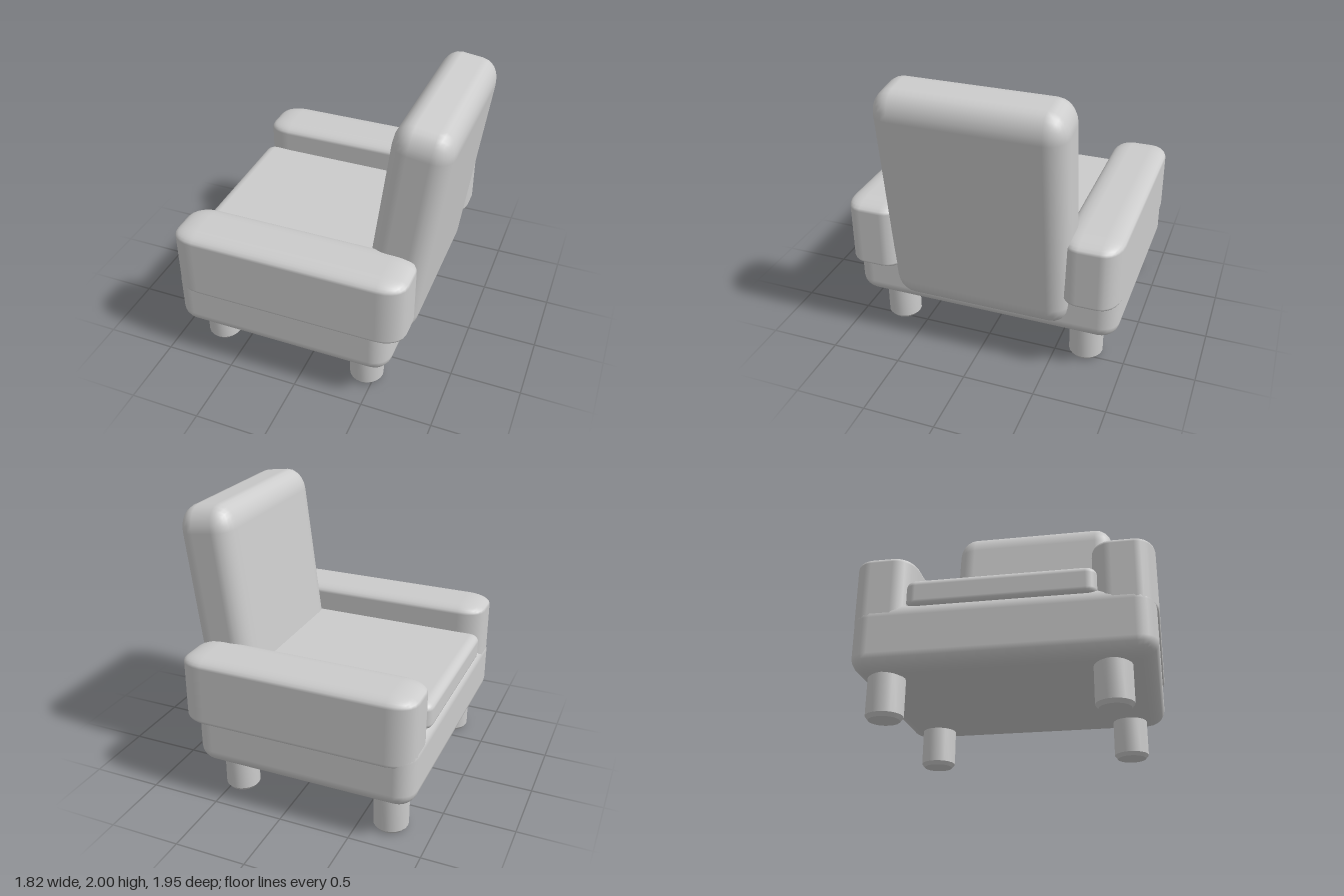
import * as THREE from 'three';
import { RoundedBoxGeometry } from 'three/addons/geometries/RoundedBoxGeometry.js';
import { toCreasedNormals } from 'three/addons/utils/BufferGeometryUtils.js';

const material = new THREE.MeshStandardMaterial({ color: 0xcccccc });

// Soft block with its own rounding radius along each axis.
function softBlock(name, [w, h, d], [rx, ry, rz], [x, y, z]) {
  const geometry = new RoundedBoxGeometry(w / rx, h / ry, d / rz, 3, 1);
  geometry.scale(rx, ry, rz);
  const mesh = new THREE.Mesh(geometry, material);
  mesh.name = name;
  mesh.position.set(x, y, z);
  return mesh;
}

export function createModel() {
  const chair = new THREE.Group();
  chair.name = 'armchair';

  // Base and seat
  chair.add(softBlock('base', [1.57, 0.46, 1.92], [0.13, 0.11, 0.13], [-0.125, 0.5, 0]));
  chair.add(softBlock('seatCushion', [1.45, 0.2, 1.22], [0.07, 0.05, 0.07], [-0.182, 0.772, 0]));

  // Reclined backrest
  const backrest = softBlock('backrest', [0.405, 1.645, 1.28], [0.13, 0.17, 0.14], [0.62, 1.172, 0]);
  backrest.rotation.z = -THREE.MathUtils.degToRad(7.4);
  chair.add(backrest);

  // Armrests
  for (const [name, side] of [['leftArmrest', -1], ['rightArmrest', 1]]) {
    chair.add(softBlock(name, [1.66, 0.515, 0.405], [0.18, 0.06, 0.13], [-0.075, 0.812, side * 0.773]));
  }

  // Round legs with a small bevel at the foot
  const profile = [[0, 0], [0.1, 0], [0.12, 0.025], [0.12, 0.35]].map(([r, y]) => new THREE.Vector2(r, y));
  const legGeometry = toCreasedNormals(new THREE.LatheGeometry(profile, 20), 0.6);
  const legs = [
    ['frontLeftLeg', -0.71, -0.75], ['frontRightLeg', -0.71, 0.675],
    ['backLeftLeg', 0.437, -0.712], ['backRightLeg', 0.437, 0.708],
  ];
  for (const [name, x, z] of legs) {
    const leg = new THREE.Mesh(legGeometry, material);
    leg.name = name;
    leg.position.set(x, 0, z);
    chair.add(leg);
  }
  return chair;
}
